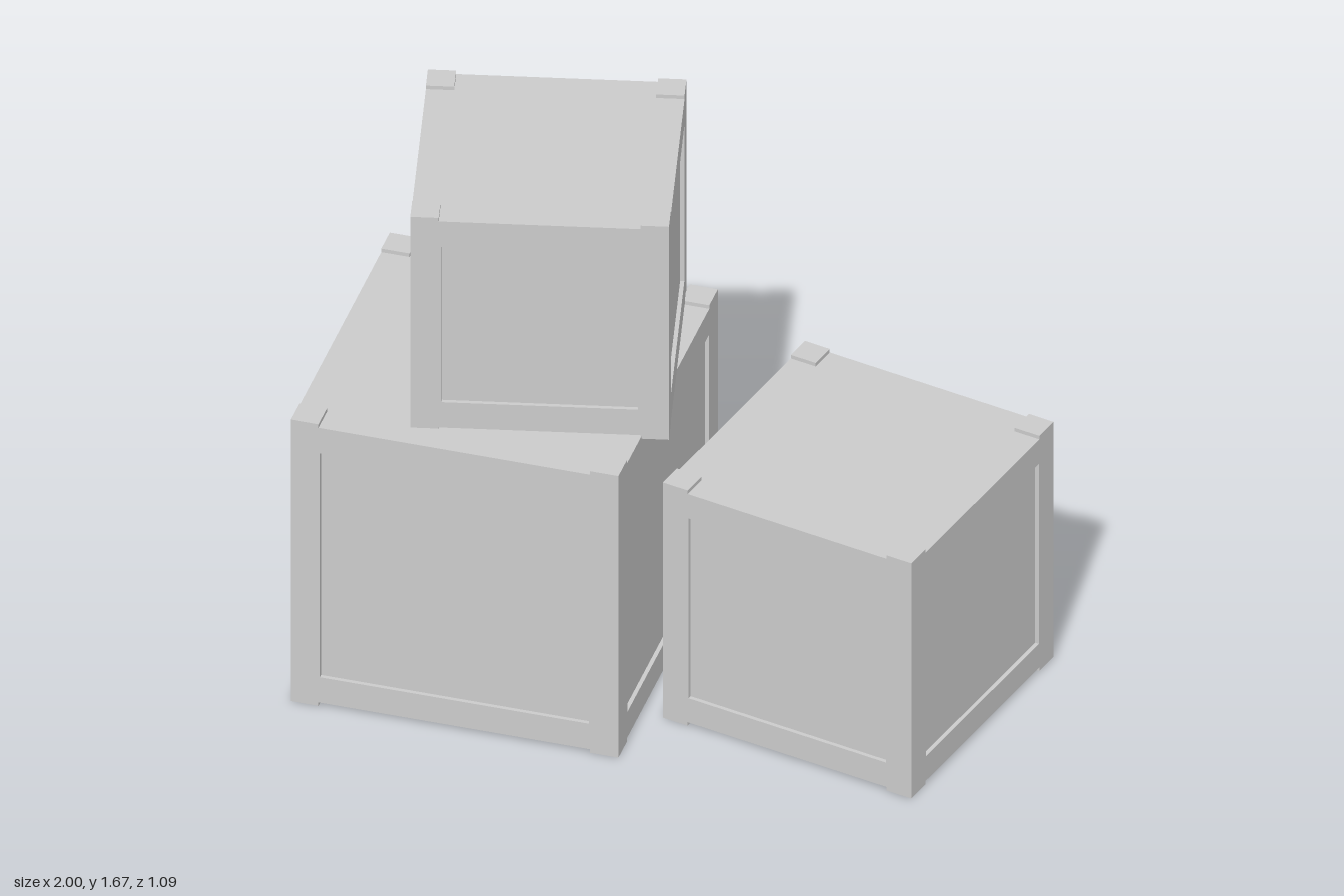
import * as THREE from 'three';

const grey = new THREE.MeshStandardMaterial({ color: 0xcccccc });
grey.name = 'crateGrey';

const RECESS = 0.012; // depth of the side panels
const LIP = 0.012;    // height of the corner caps

function part(parent, geometry, name, x, y, z) {
  const mesh = new THREE.Mesh(geometry, grey);
  mesh.name = name;
  mesh.position.set(x, y, z);
  parent.add(mesh);
  return mesh;
}

// Rectangular frame with a rectangular opening
function frameGeometry(width, height, holeW, holeH) {
  const w = width / 2, h = height / 2, a = holeW / 2, b = holeH / 2;
  const shape = new THREE.Shape([
    new THREE.Vector2(-w, -h), new THREE.Vector2(w, -h),
    new THREE.Vector2(w, h), new THREE.Vector2(-w, h),
  ]);
  shape.holes.push(new THREE.Path([
    new THREE.Vector2(-a, -b), new THREE.Vector2(-a, b),
    new THREE.Vector2(a, b), new THREE.Vector2(a, -b),
  ]));
  return new THREE.ExtrudeGeometry(shape, { depth: RECESS, bevelEnabled: false });
}

// Cubic crate: core, four recessed side frames and eight corner caps
function crate(name, size, margin, cap, x, y, z, turn) {
  const group = new THREE.Group();
  group.name = name;
  const bodyH = size - 2 * LIP;
  const inner = size - 2 * RECESS;
  const holeW = size - 2 * margin;
  const holeH = bodyH - 2 * margin;

  part(group, new THREE.BoxGeometry(inner, bodyH, inner), 'core', 0, size / 2, 0);

  ['front', 'left', 'back', 'right'].forEach((side, i) => {
    const angle = i * Math.PI / 2;
    const width = i % 2 ? inner : size;
    const frame = part(group, frameGeometry(width, bodyH, holeW, holeH), side + 'Frame',
      Math.sin(angle) * inner / 2, size / 2, Math.cos(angle) * inner / 2);
    frame.rotation.y = angle;
  });

  const capGeometry = new THREE.BoxGeometry(cap, LIP, cap);
  const offset = (size - cap) / 2;
  for (const sx of [-1, 1]) for (const sz of [-1, 1]) {
    part(group, capGeometry, 'cornerFoot', sx * offset, LIP / 2, sz * offset);
    part(group, capGeometry, 'cornerCap', sx * offset, size - LIP / 2, sz * offset);
  }

  group.position.set(x, y, z);
  group.rotation.y = turn;
  return group;
}

export function createModel() {
  const model = new THREE.Group();
  model.name = 'crateStack';
  model.add(
    crate('largeCrate', 0.965, 0.087, 0.083, -0.485, 0, 0.03, 0.07),
    crate('mediumCrate', 0.806, 0.083, 0.08, 0.537, 0, -0.088, -0.155),
    crate('topCrate', 0.73, 0.087, 0.08, -0.367, 0.945, -0.01, 0.297),
  );
  return model;
}
